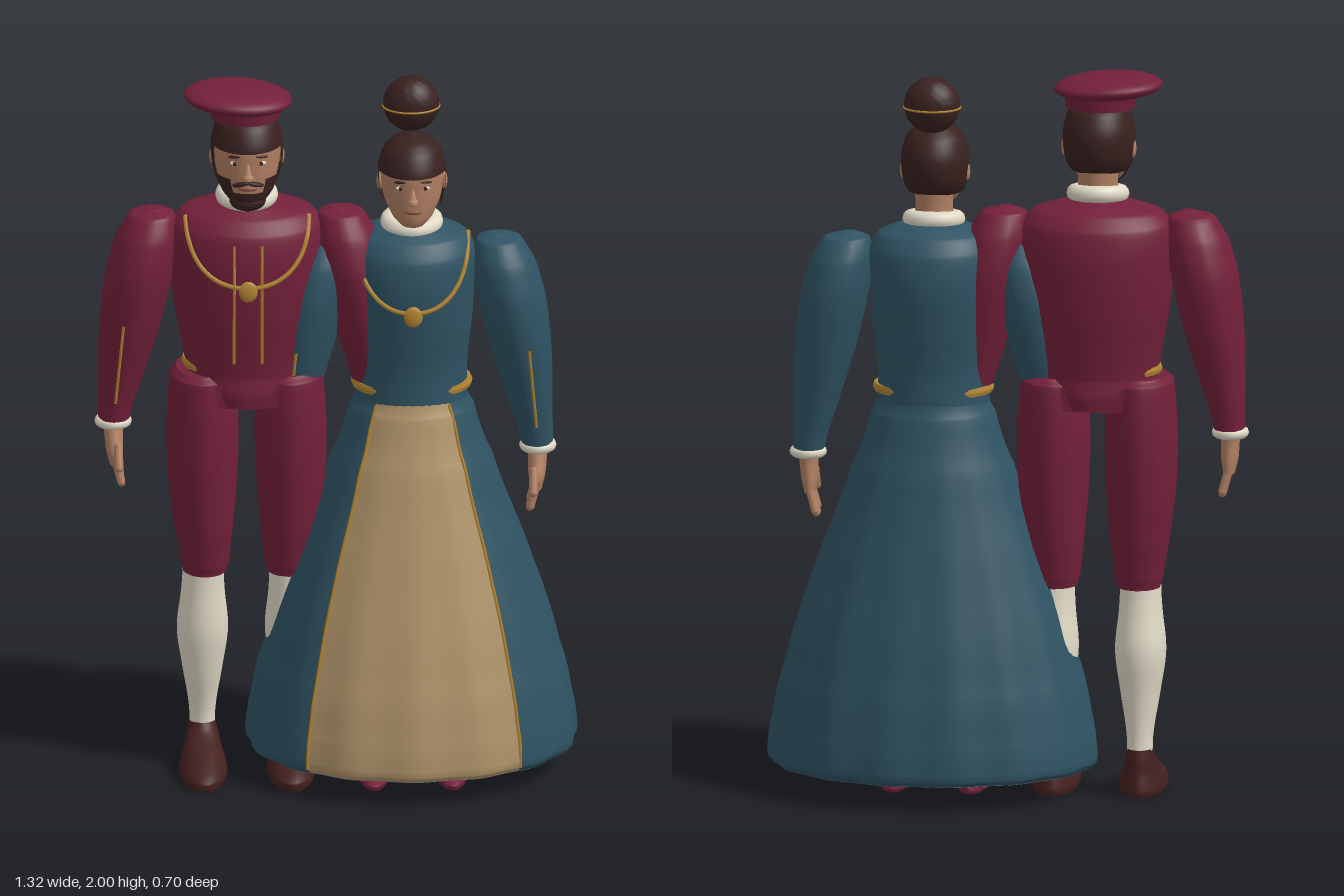
import * as THREE from 'three';

const mat = (name, color, side = THREE.FrontSide) => {
  const m = new THREE.MeshStandardMaterial({ color, side });
  m.name = name;
  return m;
};

// A body shape is a list of rings, top to bottom: [y, rx, rz, cx, cz]
function dense(rings, n = 6) {
  const out = [];
  const at = (i, k) => rings[Math.min(Math.max(i, 0), rings.length - 1)][k] ?? 0;
  for (let i = 0; i < rings.length - 1; i++) {
    for (let j = 0; j < n + (i === rings.length - 2 ? 1 : 0); j++) {
      const t = j / n;
      out.push([0, 1, 2, 3, 4].map((k) => {
        const p = at(i - 1, k), a = at(i, k), b = at(i + 1, k), q = at(i + 2, k);
        if (k === 0) return a + (b - a) * t;
        const v0 = (b - p) / 2, v1 = (q - a) / 2;
        const v = (2 * a - 2 * b + v0 + v1) * t ** 3 + (3 * b - 3 * a - 2 * v0 - v1) * t * t + v0 * t + a;
        return k < 3 ? Math.max(v, 0.001) : v;
      }));
    }
  }
  return out;
}

function ringAt(rows, y) {
  let i = 0;
  while (i < rows.length - 2 && rows[i + 1][0] > y) i++;
  const a = rows[i], b = rows[i + 1];
  const t = Math.min(Math.max((a[0] - y) / (a[0] - b[0]), 0), 1);
  return a.map((v, k) => v + (b[k] - v) * t);
}

const slice = (rows, y1, y0, n = 12) =>
  Array.from({ length: n + 1 }, (_, i) => ringAt(rows, y1 + (y0 - y1) * i / n));
const grow = (rows, d) => rows.map(([y, rx, rz, cx, cz]) => [y, rx + d, rz + d, cx, cz]);

// Skin over the rings; angle 0 is the front, increasing toward +x
function skin(rows, { seg = 32, from = 0, to = Math.PI * 2, cap = true, ripple = () => 1 } = {}) {
  const pos = [], idx = [];
  const full = to - from > 6.28, cols = full ? seg : seg + 1;
  const strip = (list) => {
    const base = pos.length / 3;
    for (const [y, rx, rz, cx, cz] of list) for (let i = 0; i < cols; i++) {
      const a = from + (to - from) * i / seg, r = ripple(a, y);
      pos.push(cx + rx * r * Math.sin(a), y, cz + rz * r * Math.cos(a));
    }
    for (let j = 0; j < list.length - 1; j++) for (let i = 0; i < seg; i++) {
      const k = (i + 1) % cols, a = base + j * cols + i, c = base + j * cols + k;
      idx.push(a, a + cols, c, a + cols, c + cols, c);
    }
  };
  const shut = ([y, , , cx, cz]) => [y, 0, 0, cx, cz];
  strip(rows);
  if (cap) {
    strip([shut(rows[0]), rows[0]]);
    strip([rows.at(-1), shut(rows.at(-1))]);
  }
  const g = new THREE.BufferGeometry();
  g.setAttribute('position', new THREE.Float32BufferAttribute(pos, 3));
  g.setIndex(idx);
  g.computeVertexNormals();
  return g;
}

export function createModel() {
  const M = {
    maroon: mat('maroon cloth', 0x73203a), teal: mat('teal cloth', 0x2f5363),
    tan: mat('tan cloth', 0xb0946a), ivory: mat('ivory linen', 0xe0d9c6),
    gold: mat('gold', 0xb08432), skin: mat('skin', 0xb07f62),
    hair: mat('dark brown hair', 0x38211f, THREE.DoubleSide), shoe: mat('brown leather', 0x44211f),
    lip: mat('lips', 0x8a5043),
  };
  const root = new THREE.Group();
  const add = (p, name, geo, m, x = 0, y = 0, z = 0) => {
    const mesh = new THREE.Mesh(geo, m);
    mesh.name = name;
    mesh.position.set(x, y, z);
    p.add(mesh);
    return mesh;
  };
  const ball = (p, name, m, x, y, z, rx, ry, rz, seg = 20) => {
    const b = add(p, name, new THREE.SphereGeometry(1, seg, seg / 2 + 4), m, x, y, z);
    b.scale.set(rx, ry, rz);
    return b;
  };
  const cord = (p, name, pts, r, m) =>
    add(p, name, new THREE.TubeGeometry(new THREE.CatmullRomCurve3(pts), 48, r, 6), m);
  // Point on the front of a body shape
  const onFront = (rows, x, y, lift = 0.002) => {
    const [, rx, rz, cx, cz] = ringAt(rows, y), u = Math.min(Math.abs((x - cx) / rx), 1);
    return new THREE.Vector3(x, y, cz + rz * Math.sqrt(1 - u * u) + lift);
  };

  // Sleeve, cuff and hand
  function arm(p, s, cloth, dx, dy) {
    const rows = dense([[1.627, .02, .02, .25], [1.612, .062, .065, .258], [1.55, .085, .1, .272], [1.45, .092, .116, .293],
      [1.3, .083, .1, .318], [1.18, .066, .075, .338], [1.02, .043, .048, .362]]
      .map(([y, rx, rz, x]) => [y + dy, rx, rz, s * (x + dx), 0.003]));
    add(p, 'sleeve', skin(rows, { ripple: (a, y) => 1 + 0.012 * Math.cos(9 * a) }), cloth);
    cord(p, 'sleeveTrim', [1.32, 1.24, 1.16, 1.08].map((y, i) =>
      onFront(rows, s * (.338 + i * .007 + dx), y + dy)), 0.004, M.gold);
    const wx = s * (.364 + dx), wy = 1.01 + dy;
    const cuff = add(p, 'cuff', new THREE.TorusGeometry(.036, .015, 10, 24), M.ivory, wx, wy, 0.003);
    cuff.rotation.x = Math.PI / 2;
    const hand = new THREE.Group();
    hand.name = 'hand';
    hand.position.set(wx, wy, 0.003);
    hand.rotation.z = -s * 0.04;
    p.add(hand);
    add(hand, 'palm', skin(dense([[.01, .026, .028], [-.03, .026, .034, 0, .008], [-.08, .023, .047, 0, .016],
      [-.115, .016, .044, 0, .014]]), { seg: 20 }), M.skin);
    for (let i = 0; i < 4; i++) {
      const f = add(hand, 'finger', new THREE.CapsuleGeometry(.0105, .07 - Math.abs(i - 1.5) * .01, 4, 10), M.skin,
        -s * .008, -.145 + Math.abs(i - 1.5) * .006, -.02 + i * .0225);
      f.rotation.set(-.06 * (i - 1.5), 0, -s * .22);
    }
    const thumb = add(hand, 'thumb', new THREE.CapsuleGeometry(.012, .06, 4, 10), M.skin, -s * .01, -.085, .065);
    thumb.rotation.x = -.45;
  }

  // Head with face, hair and neck
  function head(p, y, z, k, bearded) {
    const h = new THREE.Group();
    h.name = 'head';
    h.position.set(0, y, z);
    h.scale.setScalar(k);
    p.add(h);
    const rows = dense([[.132, .01, .01], [.12, .045, .055], [.09, .075, .092], [.04, .09, .115], [-.01, .09, .115],
      [-.055, .082, .104, 0, .008], [-.1, .06, .075, 0, .032], [-.125, .035, .045, 0, .05], [-.135, .005, .005, 0, .055]]);
    add(h, 'face', skin(rows), M.skin);
    add(h, 'neck', skin(dense([[-.03, .058, .06, 0, -.03], [-.12, .055, .056, 0, -.03], [-.21, .065, .062, 0, -.035]])), M.skin);
    const shell = grow(rows, .008);
    add(h, 'hairTop', skin([[.139, .003, .003, 0, 0], ...slice(shell, .13, .032, 16)], { cap: false }), M.hair);
    add(h, 'hairBack', skin(slice(shell, .035, -.075), { from: 1.35, to: 4.93, cap: false }), M.hair);
    const nose = add(h, 'nose', new THREE.ConeGeometry(.015, .055, 10), M.skin, 0, -.016, .118);
    nose.rotation.x = -.25;
    ball(h, 'noseTip', M.skin, 0, -.036, .124, .016, .011, .014, 12);
    ball(h, 'mouth', M.lip, 0, -.073, .104, .026, .008, .011, 14);
    for (const s of [-1, 1]) {
      ball(h, 'eye', M.ivory, s * .036, .001, .103, .014, .006, .007, 12);
      ball(h, 'iris', M.hair, s * .036, .001, .108, .006, .006, .004, 10);
      const brow = ball(h, 'brow', M.hair, s * .037, .02, .105, .02, .004, .006, 12);
      brow.rotation.set(0, s * .35, -s * .1);
      ball(h, 'ear', M.skin, s * .094, -.015, -.008, .009, .027, .016, 12);
      if (bearded) {
        const [a, b] = s > 0 ? [.55, 1.55] : [-1.55, -.55];
        add(h, 'beardSide', skin(slice(shell, -.045, -.134), { from: a, to: b, cap: false }), M.hair);
        const [c, d] = s > 0 ? [1.15, 1.55] : [-1.55, -1.15];
        add(h, 'sideburn', skin(slice(shell, .04, -.05), { from: c, to: d, cap: false }), M.hair);
        const tash = ball(h, 'moustache', M.hair, s * .02, -.059, .108, .026, .007, .011, 12);
        tash.rotation.set(0, s * .35, -s * .25);
      }
    }
    if (bearded) {
      add(h, 'beardChin', skin(slice(shell, -.084, -.135), { from: -.6, to: .6, cap: false }), M.hair);
      ball(h, 'beardTip', M.hair, 0, -.118, .07, .05, .03, .042);
    }
  }

  // Collar, chain with pendant, and waist band
  function finery(p, rows, collarY, w, top, low, waistY, rx, rz) {
    const ruff = add(p, 'collar', new THREE.TorusGeometry(.062, .024, 12, 32), M.ivory, 0, collarY, .01);
    ruff.rotation.x = Math.PI / 2 + .12;
    const pts = [];
    for (let i = -8; i <= 8; i++) {
      const u = i / 8;
      pts.push(onFront(rows, w * Math.sin(u * 1.45), low + (top - low) * Math.abs(u) ** 2.2));
    }
    cord(p, 'chain', pts, .0065, M.gold);
    const c = onFront(rows, 0, low - .01, .003);
    ball(p, 'pendant', M.gold, c.x, c.y, c.z, .026, .03, .01);
    const ring = add(p, 'waistBand', skin(dense([[.011, rx - .004, rz], [0, rx, rz], [-.011, rx - .004, rz]])), M.gold, 0, waistY, 0);
    ring.rotation.y = 0;
  }

  function shoe(p, x, m, kx, ky) {
    const rows = dense([[.13, .034, .042, 0, -.035], [.1, .042, .062, 0, -.02], [.065, .052, .11, 0, .025],
      [.03, .064, .15, 0, .058], [.012, .066, .154, 0, .06], [0, .062, .15, 0, .06]]);
    const s = add(p, 'shoe', skin(rows), m, x, 0, 0);
    s.scale.set(kx, ky, 1);
  }

  // Man
  const man = new THREE.Group();
  man.name = 'man';
  man.position.x = -0.245;
  root.add(man);
  const doublet = dense([[1.66, .06, .06], [1.645, .11, .09], [1.625, .175, .125], [1.585, .208, .155], [1.5, .212, .167],
    [1.35, .198, .158], [1.23, .176, .14], [1.15, .165, .13]]);
  add(man, 'doublet', skin(doublet, { seg: 40 }), M.maroon);
  finery(man, doublet, 1.668, .17, 1.62, 1.45, 1.185, .178, .122);
  for (const s of [-1, 1]) {
    cord(man, 'doubletTrim', [1.57, 1.48, 1.39, 1.3, 1.22].map((y) => onFront(doublet, s * .038, y)), .004, M.gold);
    arm(man, s, M.maroon, 0, 0);
    add(man, 'breeches', skin(dense([[1.168, .075, .105, s * .118], [1.15, .09, .128, s * .119], [1, .099, .132, s * .12],
      [.85, .095, .122, s * .12], [.7, .08, .1, s * .117], [.6, .066, .08, s * .114], [.575, .06, .072, s * .114]]),
    { ripple: (a) => 1 + .012 * Math.cos(10 * a) }), M.maroon);
    add(man, 'stocking', skin(dense([[.6, .056, .06, s * .118], [.52, .059, .064, s * .119, -.005], [.4, .07, .076, s * .12, -.015],
      [.28, .054, .06, s * .12, -.02], [.17, .037, .043, s * .12, -.03], [.1, .035, .042, s * .12, -.035]])), M.ivory);
    shoe(man, s * .12, M.shoe, 1, 1);
  }
  add(man, 'hips', skin(dense([[1.17, .165, .132], [1.125, .15, .138], [1.085, .125, .135]])), M.maroon);
  add(man, 'hipBand', new THREE.BoxGeometry(.24, .065, .24), M.maroon, 0, 1.115, 0);
  head(man, 1.805, .04, 1, true);
  const cap = ball(man, 'flatCap', M.maroon, -.025, 1.96, .04, .149, .036, .125, 40);
  cap.rotation.z = -.06;
  add(man, 'capBand', new THREE.CylinderGeometry(.1, .094, .04, 32), M.maroon, -.005, 1.925, .035);

  // Woman
  const woman = new THREE.Group();
  woman.name = 'woman';
  woman.position.x = 0.205;
  root.add(woman);
  const bodice = dense([[1.585, .06, .06], [1.572, .1, .09], [1.55, .15, .125], [1.505, .174, .153], [1.42, .172, .164],
    [1.3, .165, .152], [1.18, .152, .136], [1.075, .153, .136]]);
  add(woman, 'bodice', skin(bodice, { seg: 40 }), M.teal);
  finery(woman, bodice, 1.585, .155, 1.55, 1.37, 1.12, .166, .128);
  for (const s of [-1, 1]) {
    arm(woman, s, M.teal, -.02, -.082);
    shoe(woman, s * .107, M.maroon, .7, .62);
  }

  // Skirt with a front panel between two trims
  const skirt = dense([[1.1, .148, .134], [1.05, .17, .15], [.9, .222, .19], [.6, .328, .26], [.35, .402, .317],
    [.2, .436, .342], [.11, .449, .35], [.085, .447, .348], [.072, .436, .338]]);
  const ripple = (a, y) => 1 + .013 * Math.cos(15 * a) * Math.min(1.1 - y, .9);
  const edge = .71;
  add(woman, 'skirt', skin(skirt, { seg: 120, from: edge, to: Math.PI * 2 - edge, cap: false, ripple }), M.teal);
  add(woman, 'skirtPanel', skin(skirt, { seg: 36, from: -edge, to: edge, cap: false, ripple }), M.tan);
  add(woman, 'skirtUnderside', skin([[.09, .42, .325, 0, 0], [.0725, .437, .339, 0, 0]], { seg: 120, ripple }), M.teal);
  for (const s of [-1, 1]) {
    cord(woman, 'skirtTrim', slice(skirt, 1.085, .085, 16).map(([y, rx, rz]) => {
      const r = ripple(edge, y);
      return new THREE.Vector3(s * rx * r * Math.sin(edge), y, rz * r * Math.cos(edge));
    }), .005, M.gold);
  }

  head(woman, 1.727, .045, .94, false);
  const bun = new THREE.SphereGeometry(1, 48, 32), bp = bun.attributes.position, v = new THREE.Vector3();
  for (let i = 0; i < bp.count; i++) {
    v.fromBufferAttribute(bp, i);
    v.multiplyScalar(1 + .015 * Math.sin(v.x * 16) * Math.sin(v.y * 16) * Math.sin(v.z * 16));
    bp.setXYZ(i, v.x, v.y, v.z);
  }
  bun.computeVertexNormals();
  add(woman, 'hairBun', bun, M.hair, 0, 1.911, -.032).scale.set(.077, .077, .067);
  const band = add(woman, 'bunBand', new THREE.TorusGeometry(.077, .003, 8, 48), M.gold, 0, 1.905, -.032);
  band.rotation.x = Math.PI / 2;
  band.scale.y = .87;
  return root;
}
